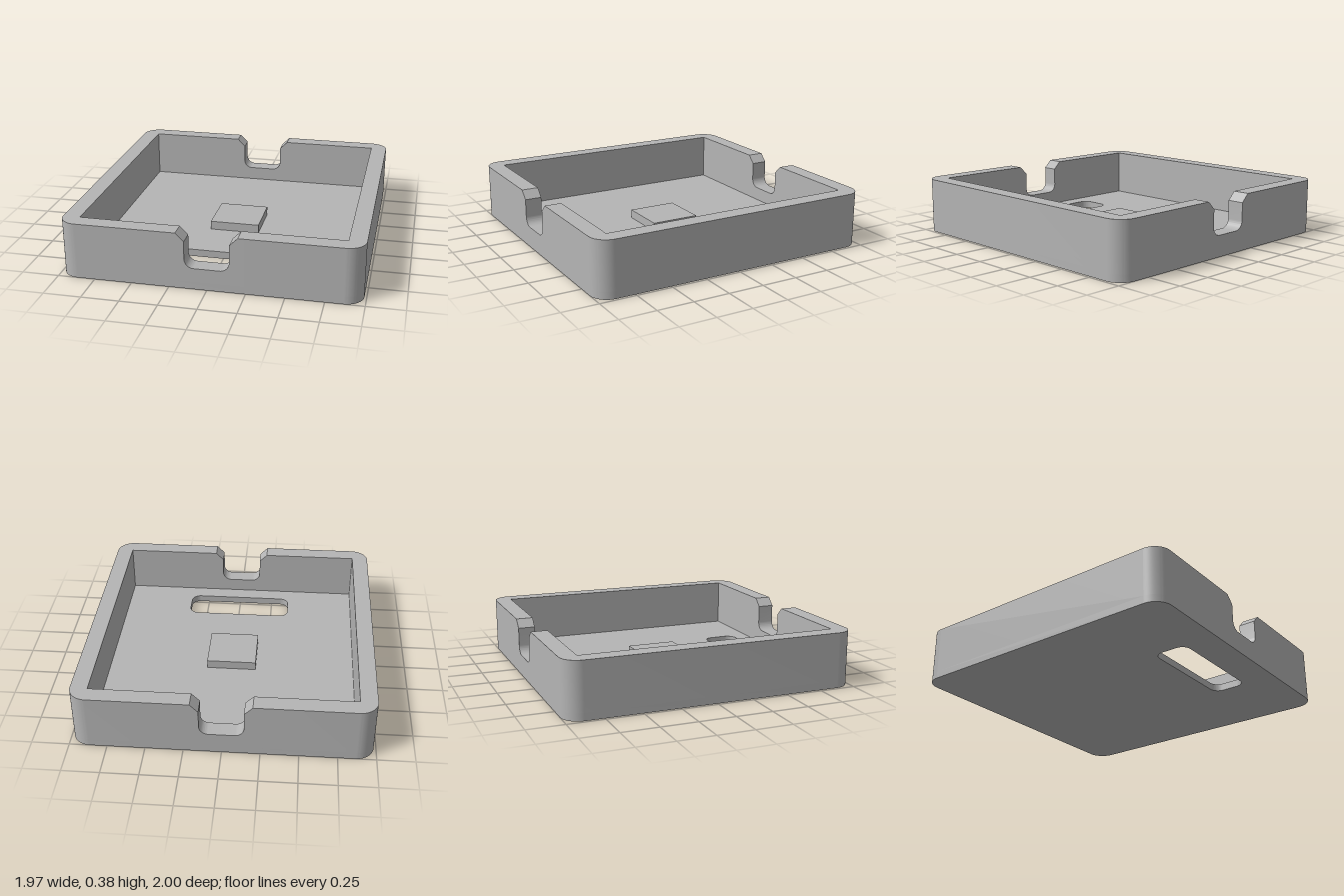
import * as THREE from 'three';
import { toCreasedNormals } from 'three/addons/utils/BufferGeometryUtils.js';

const W = 0.985, D = 1, H = 0.38;      // outer half width, half depth, height
const IW = 0.87, ID = 0.885;           // cavity half width and half depth
const FLOOR = 0.05, R = 0.12;          // floor thickness, corner radius
const NOTCH = 0.2;                     // half width of the notch at the rim

function roundedRect(path, x0, y0, x1, y1, r) {
  path.moveTo(x0 + r, y0);
  path.lineTo(x1 - r, y0);
  path.absarc(x1 - r, y0 + r, r, -Math.PI / 2, 0, false);
  path.lineTo(x1, y1 - r);
  path.absarc(x1 - r, y1 - r, r, 0, Math.PI / 2, false);
  path.lineTo(x0 + r, y1);
  path.absarc(x0 + r, y1 - r, r, Math.PI / 2, Math.PI, false);
  path.lineTo(x0, y0 + r);
  path.absarc(x0 + r, y0 + r, r, Math.PI, Math.PI * 1.5, false);
  return path;
}

function extrude(shape, depth) {
  return new THREE.ExtrudeGeometry(shape, { depth, bevelEnabled: false, curveSegments: 12 });
}

// Plan shape (x, -z) raised from y0 to y1
function upright(shape, y0, y1) {
  return toCreasedNormals(extrude(shape, y1 - y0).rotateX(-Math.PI / 2).translate(0, y0, 0), 0.5);
}

export function createModel() {
  const model = new THREE.Group();
  model.name = 'openCase';
  const grey = new THREE.MeshStandardMaterial({ color: 0xb4b4b4 });
  grey.name = 'grey plastic';

  const add = (name, geometry) => {
    const mesh = new THREE.Mesh(geometry, grey);
    mesh.name = name;
    model.add(mesh);
    return mesh;
  };

  // Floor with a rounded slot near the front
  const floor = roundedRect(new THREE.Shape(), -W, -D, W, D, R);
  floor.holes.push(roundedRect(new THREE.Path(), -0.38, -0.77, 0.38, -0.53, 0.065));
  add('floor', upright(floor, 0, FLOOR));

  // Half of the wall ring, with rounded outer and square inner corners
  const half = new THREE.Shape();
  half.moveTo(NOTCH, -D);
  half.lineTo(W - R, -D);
  half.absarc(W - R, -D + R, R, -Math.PI / 2, 0, false);
  half.lineTo(W, D - R);
  half.absarc(W - R, D - R, R, 0, Math.PI / 2, false);
  half.lineTo(NOTCH, D);
  half.lineTo(NOTCH, ID);
  half.lineTo(IW, ID);
  half.lineTo(IW, -ID);
  half.lineTo(NOTCH, -ID);
  half.closePath();
  const wall = upright(half, FLOOR, H);
  add('leftWall', wall);
  add('rightWall', wall).rotation.y = Math.PI;

  // Wall section with a chamfered, round-bottomed cable notch
  const w = 0.145, bottom = 0.145, r = 0.06;
  const notch = new THREE.Shape();
  notch.moveTo(-NOTCH, FLOOR);
  notch.lineTo(NOTCH, FLOOR);
  notch.lineTo(NOTCH, H);
  notch.lineTo(w, H - 0.055);
  notch.lineTo(w, bottom + r);
  notch.absarc(w - r, bottom + r, r, 0, -Math.PI / 2, true);
  notch.lineTo(-w + r, bottom);
  notch.absarc(-w + r, bottom + r, r, -Math.PI / 2, -Math.PI, true);
  notch.lineTo(-w, H - 0.055);
  notch.lineTo(-NOTCH, H);
  notch.closePath();
  const notchWall = toCreasedNormals(extrude(notch, D - ID).translate(0, 0, ID), 0.5);
  add('frontNotch', notchWall);
  add('backNotch', notchWall).rotation.y = Math.PI;

  // Square support pad in the middle of the floor
  add('supportPad', new THREE.BoxGeometry(0.346, 0.06, 0.346).translate(0, FLOOR + 0.03, 0));

  return model;
}
